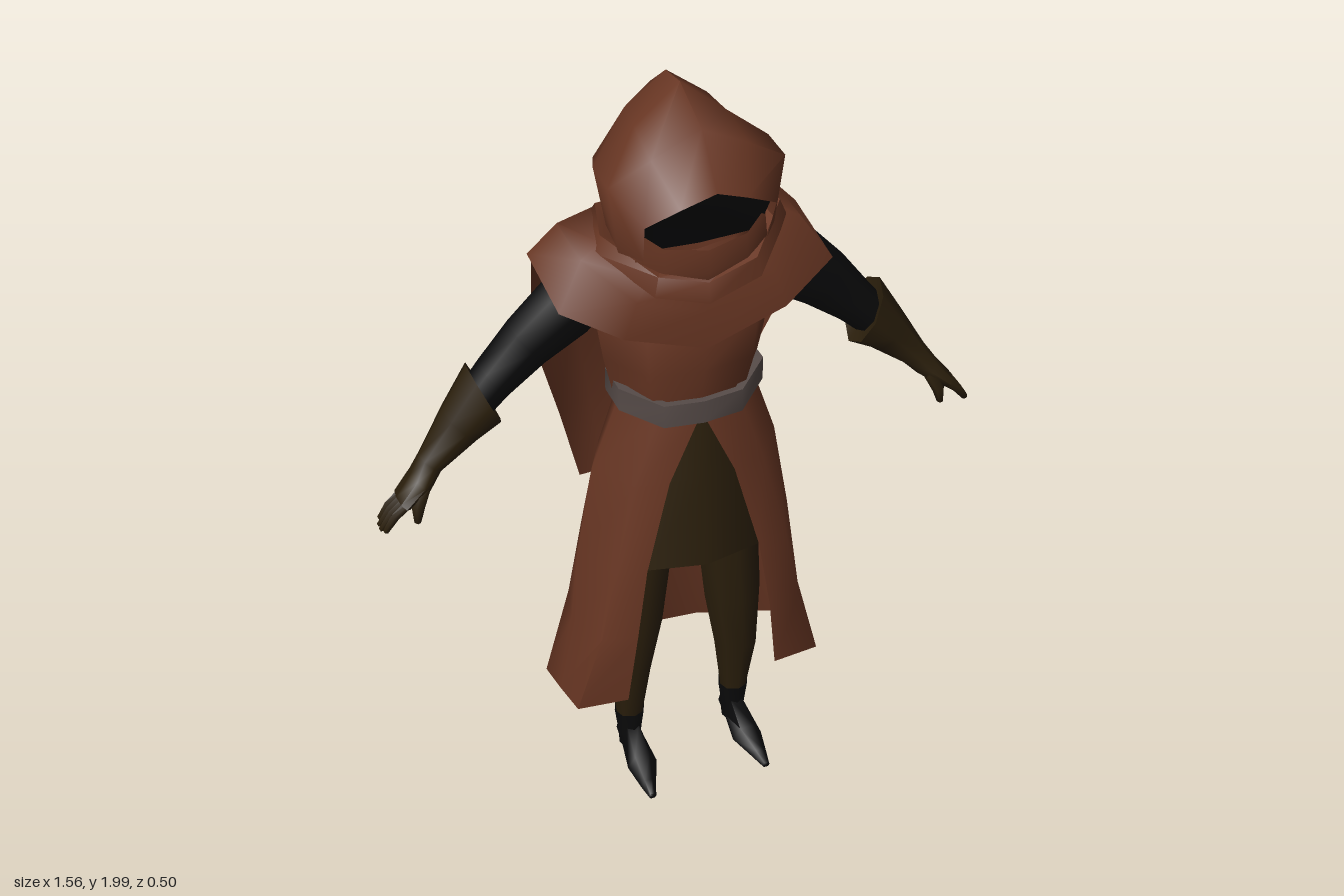
import * as THREE from 'three';
import { toCreasedNormals } from 'three/addons/utils/BufferGeometryUtils.js';

const mat = (name, color) => {
  const m = new THREE.MeshStandardMaterial({ color, side: THREE.DoubleSide });
  m.name = name;
  return m;
};

// Joins rows of points into a surface; closed rows wrap around
function loft(rows, closed = true, crease = 1.25) {
  const n = rows[0].length, idx = [], cols = closed ? n : n - 1;
  for (let r = 0; r < rows.length - 1; r++) {
    for (let i = 0; i < cols; i++) {
      const a = r * n + i, b = r * n + (i + 1) % n;
      idx.push(a, b, a + n, b, b + n, a + n);
    }
  }
  const g = new THREE.BufferGeometry();
  g.setAttribute('position', new THREE.Float32BufferAttribute(rows.flat(2), 3));
  g.setIndex(idx);
  return toCreasedNormals(g, crease);
}

// Completes a half row (front to back on +x) with its mirror image
function mirrorRow(half) {
  const other = half.filter((p) => p[0] !== 0).map(([x, y, z]) => [-x, y, z]).reverse();
  return [...half, ...other];
}

// Oval ring: centre, radius along the tilted x direction, radius along z, tilt
function ring([x, y, z, ra, rz, tilt = 0], s, n = 8) {
  return Array.from({ length: n }, (_, i) => {
    const t = (i / n) * Math.PI * 2, c = Math.cos(t) * ra;
    return [s * (x + c * Math.cos(tilt)), y + c * Math.sin(tilt), z + Math.sin(t) * rz];
  });
}

export function createModel() {
  const group = new THREE.Group();
  const cloth = mat('brown cloth', 0x683623);
  const olive = mat('dark olive', 0x2b1f0c);
  const black = mat('black', 0x0a0a0b);
  const grey = mat('belt grey', 0x564b48);

  const add = (name, geo, material) => {
    const m = new THREE.Mesh(geo, material);
    m.name = name;
    group.add(m);
  };
  const body = (name, rows, material) => add(name, loft(rows.map(mirrorRow)), material);
  const tube = (name, rows, material, s, n) => add(name, loft(rows.map((r) => ring(r, s, n))), material);

  // Hood: ribs from the front rim to the back seam, each from the left hem to the crown
  const ribs = [
    [[0.15, 1.66, 0.185], [0.157, 1.765, 0.215], [0.08, 1.805, 0.235], [0, 1.84, 0.25]],
    [[0.19, 1.66, 0.13], [0.212, 1.83, 0.13], [0.115, 1.89, 0.145], [0, 1.95, 0.155]],
    [[0.18, 1.65, 0.03], [0.212, 1.83, 0.03], [0.11, 1.91, 0.02], [0, 2.0, 0.02]],
    [[0.14, 1.64, -0.06], [0.175, 1.79, -0.08], [0.1, 1.91, -0.07], [0, 1.985, -0.07]],
    [[0.06, 1.64, -0.1], [0.09, 1.76, -0.15], [0.05, 1.86, -0.16], [0, 1.9, -0.18]],
    [[0, 1.64, -0.105], [0, 1.76, -0.168], [0, 1.86, -0.178], [0, 1.9, -0.18]],
  ];
  add('hood', loft(ribs.map((r) => [...r, ...r.slice(0, -1).reverse().map(([x, y, z]) => [-x, y, z])]), false), cloth);

  // Shadowed face inside the hood
  add('face', loft([
    [[-0.15, 1.65, 0.13], [0, 1.65, 0.14], [0.15, 1.65, 0.13]],
    [[-0.153, 1.765, 0.195], [0, 1.765, 0.195], [0.153, 1.765, 0.195]],
    [[-0.08, 1.8, 0.215], [0, 1.835, 0.238], [0.08, 1.8, 0.215]],
  ], false), black);

  // Cloth over the lower face
  const scarfRow = (pts) => [...pts.map(([x, y, z]) => [-x, y, z]), ...pts.slice(0, -1).reverse()];
  add('faceScarf', loft([
    scarfRow([[0.153, 1.72, 0.16], [0.1, 1.68, 0.185], [0, 1.668, 0.205]]),
    scarfRow([[0.16, 1.65, 0.16], [0.1, 1.62, 0.19], [0, 1.61, 0.21]]),
    scarfRow([[0.16, 1.6, 0.14], [0.1, 1.58, 0.18], [0, 1.56, 0.195]]),
  ], false), cloth);

  // Rolled cowl around the neck
  body('cowl', [
    [[0, 1.6, 0.17], [0.1, 1.62, 0.16], [0.17, 1.66, 0.09], [0.15, 1.65, -0.03], [0, 1.64, -0.08]],
    [[0, 1.585, 0.21], [0.12, 1.62, 0.2], [0.22, 1.69, 0.09], [0.18, 1.68, -0.06], [0, 1.66, -0.11]],
    [[0, 1.53, 0.215], [0.13, 1.57, 0.205], [0.235, 1.65, 0.1], [0.2, 1.64, -0.07], [0, 1.62, -0.12]],
  ], cloth);

  // Shoulder mantle with a pointed front
  body('mantle', [
    [[0, 1.56, 0.19], [0.13, 1.6, 0.18], [0.22, 1.67, 0.09], [0.19, 1.67, -0.06], [0, 1.65, -0.1]],
    [[0, 1.5, 0.2], [0.17, 1.56, 0.195], [0.27, 1.64, 0.1], [0.27, 1.64, -0.07], [0, 1.6, -0.12]],
    [[0, 1.4, 0.205], [0.2, 1.465, 0.195], [0.338, 1.535, 0.14], [0.34, 1.56, -0.09], [0, 1.5, -0.15]],
  ], cloth);

  // Cape hanging off the shoulders: half width, y, middle z, edge z
  add('cape', loft([
    [0.2, 1.66, -0.1, -0.06], [0.335, 1.56, -0.135, -0.07], [0.337, 1.32, -0.185, -0.1],
    [0.245, 1.0, -0.25, -0.19], [0.18, 0.745, -0.25, -0.245],
  ].map(([w, y, zm, ze]) => [-1, -0.6, 0, 0.6, 1].map(
    (u) => [u * w, y, u === 0 ? zm : Math.abs(u) < 1 ? zm * 0.95 + ze * 0.05 : ze])), false), cloth);

  // Coat body
  body('coatTorso', [
    [[0, 1.62, 0.12], [0.1, 1.62, 0.1], [0.16, 1.62, 0.04], [0.1, 1.62, -0.06], [0, 1.62, -0.08]],
    [[0, 1.45, 0.185], [0.14, 1.45, 0.17], [0.225, 1.45, 0.05], [0.15, 1.45, -0.06], [0, 1.45, -0.08]],
    [[0, 1.32, 0.185], [0.13, 1.32, 0.165], [0.205, 1.32, 0.05], [0.14, 1.32, -0.05], [0, 1.32, -0.065]],
    [[0, 1.18, 0.16], [0.11, 1.18, 0.145], [0.175, 1.18, 0.05], [0.12, 1.18, -0.04], [0, 1.18, -0.055]],
  ], cloth);

  // Coat skirt, open at the front
  const skirt = [
    [[0.005, 1.18, 0.17], [0.11, 1.18, 0.15], [0.178, 1.19, 0.06], [0.14, 1.19, -0.03], [0.07, 1.19, -0.05], [0, 1.19, -0.06]],
    [[0.085, 1.0, 0.175], [0.17, 1.0, 0.155], [0.242, 1.0, 0.05], [0.19, 1.0, -0.05], [0.09, 1.0, -0.08], [0, 1.0, -0.085]],
    [[0.15, 0.75, 0.19], [0.23, 0.75, 0.175], [0.285, 0.75, 0.05], [0.235, 0.74, -0.07], [0.11, 0.73, -0.115], [0, 0.72, -0.12]],
    [[0.18, 0.55, 0.2], [0.27, 0.55, 0.18], [0.308, 0.53, 0.05], [0.27, 0.5, -0.09], [0.125, 0.48, -0.15], [0, 0.47, -0.16]],
    [[0.205, 0.33, 0.188], [0.335, 0.32, 0.165], [0.338, 0.27, 0.02], [0.335, 0.22, -0.11], [0.14, 0.18, -0.22], [0, 0.168, -0.243]],
  ];
  add('coatSkirt', loft(skirt.map(mirrorRow), false), cloth);

  // Belt
  const beltRow = (y, k) => [[0, y, 0.187], [0.1, y + 0.005, 0.18], [0.185, y + 0.025, 0.1],
    [0.185, y + 0.02, 0.0], [0.12, y, -0.06], [0, y, -0.07]].map(([x, h, z]) => [x * k, h, 0.05 + (z - 0.05) * k]);
  body('belt', [beltRow(1.235, 0.88), beltRow(1.235, 1), beltRow(1.172, 1), beltRow(1.172, 0.88)], grey);

  // Tunic under the coat
  body('tunic', [
    [[0, 1.18, 0.165], [0.08, 1.18, 0.14], [0.14, 1.18, 0.05], [0.08, 1.18, -0.03], [0, 1.18, -0.04]],
    [[0, 1.0, 0.185], [0.1, 1.0, 0.165], [0.18, 1.0, 0.05], [0.1, 1.0, -0.05], [0, 1.0, -0.06]],
    [[0, 0.75, 0.215], [0.16, 0.75, 0.182], [0.21, 0.75, 0.05], [0.13, 0.75, -0.06], [0, 0.75, -0.08]],
  ], olive);

  for (const s of [1, -1]) {
    const side = s > 0 ? 'left' : 'right';

    // Leg and boot
    tube(side + 'Leg', [
      [0.11, 0.95, 0.05, 0.09, 0.09], [0.115, 0.75, 0.055, 0.085, 0.085], [0.135, 0.5, 0.055, 0.078, 0.07],
      [0.15, 0.32, 0.045, 0.06, 0.06], [0.15, 0.14, 0.035, 0.036, 0.04],
    ], olive, s);
    tube(side + 'BootShaft', [
      [0.15, 0.15, 0.035, 0.042, 0.043], [0.15, 0.09, 0.033, 0.034, 0.04], [0.15, 0.02, 0.03, 0.028, 0.04],
    ], black, s);
    // Foot sections from heel to toe: x, z, half width, sole y, top y
    add(side + 'Foot', loft([
      [0.15, -0.015, 0.001, 0.01, 0.06], [0.15, -0.012, 0.022, 0.006, 0.08], [0.15, 0.06, 0.032, 0.012, 0.1],
      [0.152, 0.14, 0.041, 0.006, 0.062], [0.16, 0.21, 0.021, 0.006, 0.038], [0.163, 0.25, 0.01, 0.01, 0.026], [0.163, 0.252, 0, 0.018, 0.018],
    ].map(([x, z, w, a, b]) => [[-0.6, a], [0.6, a], [1, a * 0.6 + b * 0.4], [0.5, b], [-0.5, b], [-1, a * 0.6 + b * 0.4]]
      .map(([u, y]) => [s * (x + u * w), y, z]))), black);

    // Sleeve and gauntlet
    tube(side + 'Arm', [
      [0.2, 1.53, 0.015, 0.08, 0.06, 0.95], [0.285, 1.465, 0.015, 0.095, 0.058, 0.95],
      [0.38, 1.385, 0.008, 0.078, 0.052, 0.95], [0.465, 1.3, 0.005, 0.06, 0.05, 0.95], [0.54, 1.22, 0.01, 0.05, 0.045, 0.8],
    ], black, s);
    tube(side + 'Gauntlet', [
      [0.5, 1.26, 0.01, 0.05, 0.045, 1.1], [0.492, 1.27, 0.012, 0.094, 0.068, 1.16], [0.555, 1.2, 0.014, 0.062, 0.057, 0.85],
      [0.635, 1.11, 0.02, 0.036, 0.036, 0.75], [0.665, 1.075, 0.034, 0.031, 0.046, 0.75],
      [0.715, 1.03, 0.042, 0.02, 0.044, 0.75], [0.72, 1.025, 0.042, 0, 0, 0.75],
    ], olive, s);

    // Fingers and thumb
    for (let i = 0; i < 4; i++) {
      const z = 0.014 + i * 0.0185, d = i === 0 || i === 3 ? 0.006 : 0;
      tube(side + 'Finger', [
        [0.695, 1.045, z, 0.014, 0.0095, 0.7], [0.742, 1.005, z, 0.012, 0.0092, 0.6],
        [0.773 - d, 0.964 + d, z, 0.008, 0.008, 0.5], [0.776 - d, 0.958 + d, z, 0, 0, 0.5],
      ], olive, s, 6);
    }
    tube(side + 'Thumb', [
      [0.665, 1.07, 0.06, 0.02, 0.016, 0.3], [0.685, 1.02, 0.075, 0.016, 0.014, 0.2],
      [0.69, 0.985, 0.08, 0.009, 0.009, 0], [0.69, 0.977, 0.08, 0, 0, 0],
    ], olive, s, 6);
  }
  return group;
}
